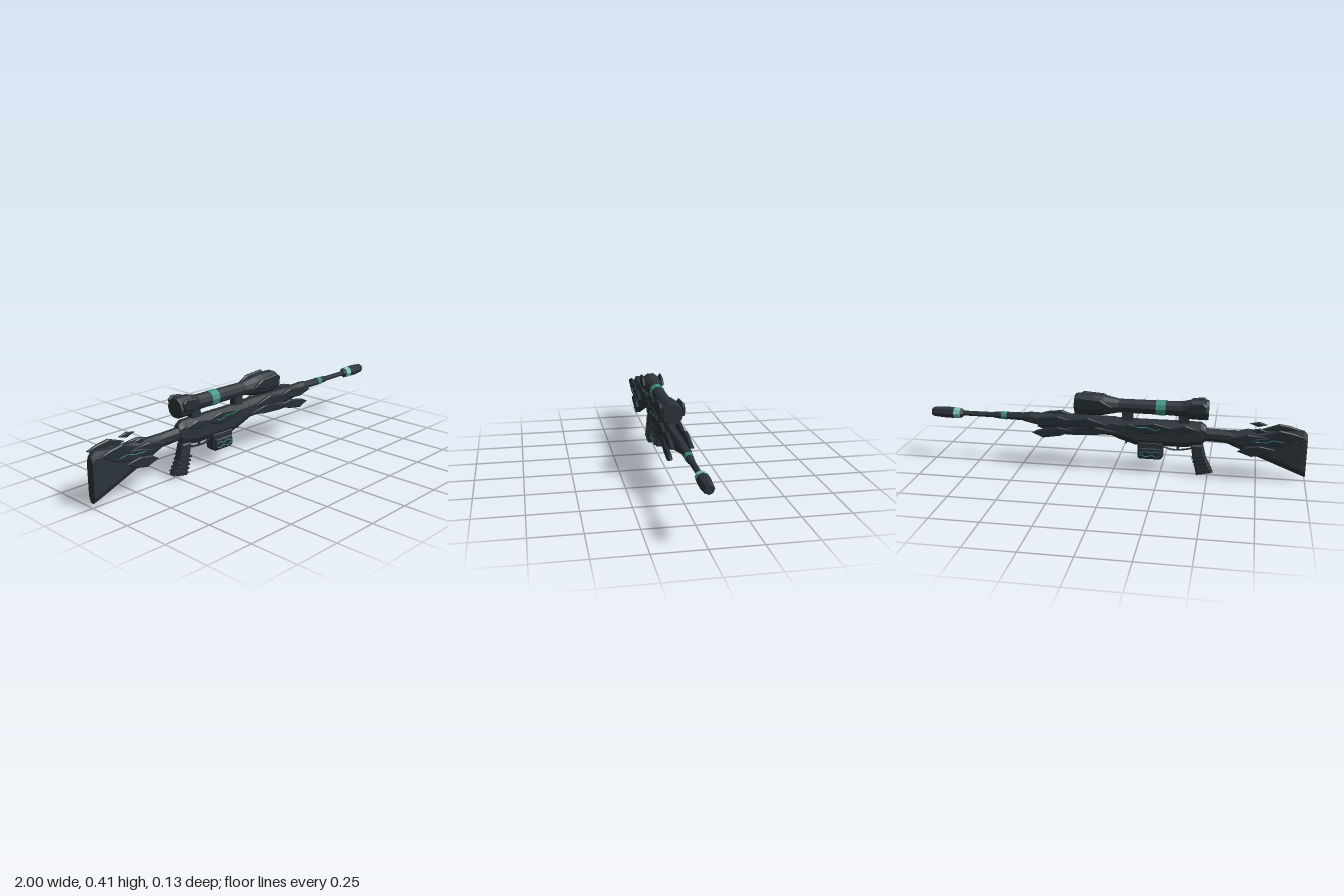
import * as THREE from 'three';

export function createModel() {
  const model = new THREE.Group();
  const mat = (name, color) => {
    const m = new THREE.MeshStandardMaterial({ color });
    m.name = name;
    return m;
  };
  const dark = mat('dark slate', 0x2b343a);
  const plate = mat('plate slate', 0x263036);
  const teal = mat('teal', 0x3f9382);
  const pale = mat('pale teal', 0x7cc4b4);

  const add = (name, geo, material, parent = model) => {
    const m = new THREE.Mesh(geo, material);
    m.name = name;
    parent.add(m);
    return m;
  };

  // Joins rings of [y, z] points along x; rings run counter-clockwise seen from +x
  function loft(rings) {
    const pos = [];
    const n = rings[0].pts.length;
    const put = (r, j) => pos.push(r.x, r.pts[j % n][0], r.pts[j % n][1]);
    for (let i = 0; i < rings.length - 1; i++) {
      const a = rings[i], b = rings[i + 1];
      for (let j = 0; j < n; j++) {
        put(a, j); put(a, j + 1); put(b, j + 1);
        put(a, j); put(b, j + 1); put(b, j);
      }
    }
    const first = rings[0], last = rings[rings.length - 1];
    for (let j = 1; j < n - 1; j++) {
      put(last, 0); put(last, j); put(last, j + 1);
      put(first, 0); put(first, j + 1); put(first, j);
    }
    const g = new THREE.BufferGeometry();
    g.setAttribute('position', new THREE.Float32BufferAttribute(pos, 3));
    g.computeVertexNormals();
    return g;
  }

  // Faceted round part from [x, radius] pairs
  const round = (profile, y, n) => loft(profile.map(([x, r]) => ({
    x,
    pts: Array.from({ length: n }, (_, j) => {
      const a = (j / n) * Math.PI * 2;
      return [y + r * Math.sin(a), -r * Math.cos(a)];
    }),
  })));

  // Chamfered block from [x, bottom, top, half width]
  const block = (stations) => loft(stations.map(([x, b, t, w]) => {
    const c = Math.min(0.03, (t - b) * 0.3);
    const k = w * 0.5;
    return { x, pts: [[b + c, -w], [t - c, -w], [t, -k], [t, k], [t - c, w], [b + c, w], [b, k], [b, -k]] };
  }));

  // Bevelled slab from an outline in x and y, centred on z
  function slab(points, z, thick, bevel) {
    const g = new THREE.ExtrudeGeometry(new THREE.Shape(points.map((p) => new THREE.Vector2(...p))), {
      depth: thick - bevel * 2, bevelEnabled: true, bevelThickness: bevel,
      bevelSize: bevel, bevelOffset: -bevel, bevelSegments: 1,
    });
    return g.translate(0, 0, z - thick / 2 + bevel);
  }

  const pair = (name, points, z, thick, material = plate) => {
    for (const s of [1, -1]) add(name, slab(points, s * z, thick, 0.005), material);
  };

  // Thin zigzag inlay on both sides
  function inlay(name, points, z, width) {
    const group = new THREE.Group();
    group.name = name;
    for (const s of [1, -1]) {
      for (let i = 0; i < points.length - 1; i++) {
        const [x0, y0] = points[i], [x1, y1] = points[i + 1];
        const bar = add('inlay', new THREE.BoxGeometry(Math.hypot(x1 - x0, y1 - y0), width, 0.004), teal, group);
        bar.position.set((x0 + x1) / 2, (y0 + y1) / 2, s * z);
        bar.rotation.z = Math.atan2(y1 - y0, x1 - x0);
      }
    }
    model.add(group);
  }

  // Stock
  add('stock', block([
    [-1, 0.025, 0.25, 0.022], [-0.98, 0.033, 0.272, 0.026], [-0.92, 0.057, 0.262, 0.027],
    [-0.67, 0.155, 0.252, 0.025], [-0.59, 0.187, 0.252, 0.021], [-0.46, 0.193, 0.256, 0.022],
  ]), dark);

  // Receiver and handguard
  add('receiver', block([
    [-0.485, 0.195, 0.27, 0.024], [-0.46, 0.165, 0.287, 0.028], [-0.38, 0.153, 0.288, 0.031],
    [-0.12, 0.15, 0.287, 0.031], [-0.03, 0.178, 0.288, 0.03], [0.01, 0.195, 0.292, 0.03],
  ]), dark);
  add('handguard', block([
    [-0.01, 0.195, 0.292, 0.032], [0.17, 0.2, 0.29, 0.033], [0.32, 0.212, 0.288, 0.03],
    [0.45, 0.238, 0.293, 0.024], [0.49, 0.246, 0.288, 0.019],
  ]), dark);

  // Barrel, rings and muzzle
  add('barrel', round([[0.45, 0.023], [0.58, 0.021], [0.64, 0.019], [0.66, 0.015], [0.85, 0.014]], 0.268, 8), dark);
  add('barrelRing', round([[0.58, 0.023], [0.61, 0.022]], 0.268, 8), teal);
  add('muzzleCollar', round([[0.825, 0.017], [0.84, 0.027]], 0.268, 8), dark);
  add('muzzleRing', round([[0.84, 0.029], [0.875, 0.032]], 0.268, 8), pale);
  add('muzzle', round([[0.875, 0.031], [0.92, 0.032], [0.985, 0.027], [1, 0.021]], 0.268, 8), dark);

  // Scope
  const sy = 0.357;
  add('scopeTube', round([
    [-0.495, 0.05], [-0.485, 0.053], [-0.41, 0.052], [-0.36, 0.039], [-0.27, 0.037], [-0.22, 0.037],
    [-0.03, 0.036], [0.05, 0.053], [0.1, 0.0575], [0.19, 0.0575], [0.203, 0.053],
  ], sy, 10), dark);
  add('scopeRing', round([[-0.275, 0.04], [-0.225, 0.04]], sy, 10), teal);
  pair('scopeFrontPlate', [[0, 0.365], [0.06, 0.4], [0.17, 0.408], [0.195, 0.39], [0.19, 0.345], [0.09, 0.34]], 0.058, 0.018);
  pair('scopeRearPlate', [[-0.49, 0.39], [-0.47, 0.407], [-0.41, 0.4], [-0.37, 0.365], [-0.42, 0.342], [-0.48, 0.35]], 0.053, 0.016);
  for (const x of [-0.37, -0.075]) {
    const mount = add('scopeMount', new THREE.BoxGeometry(0.055, 0.06, 0.036), dark);
    mount.position.set(x, 0.305, 0);
  }

  // Grip with ridges
  add('grip', slab([[-0.47, 0.17], [-0.41, 0.17], [-0.415, 0.13], [-0.442, 0], [-0.527, 0.018], [-0.49, 0.09]], 0, 0.05, 0.008), dark);
  for (let i = 0; i < 5; i++) {
    const t = i / 4;
    const ridge = add('gripRidge', new THREE.BoxGeometry(0.076 - t * 0.014, 0.009, 0.056), plate);
    ridge.position.set(-0.48 + t * 0.033, 0.026 + t * 0.076, 0);
    ridge.rotation.z = -0.2;
  }

  // Trigger and guard
  const guardPath = new THREE.CatmullRomCurve3([
    [-0.42, 0.145], [-0.38, 0.134], [-0.31, 0.129], [-0.26, 0.145],
  ].map(([x, y]) => new THREE.Vector3(x, y, 0)));
  add('triggerGuard', new THREE.TubeGeometry(guardPath, 10, 0.005, 5), dark);
  add('trigger', slab([[-0.355, 0.16], [-0.335, 0.16], [-0.335, 0.135], [-0.345, 0.132]], 0, 0.014, 0.003), dark);
  add('releaseCatch', slab([[-0.085, 0.18], [-0.065, 0.18], [-0.062, 0.152], [-0.07, 0.15]], 0, 0.016, 0.003), dark);

  // Magazine
  add('magazine', slab([[-0.265, 0.17], [-0.13, 0.17], [-0.13, 0.085], [-0.14, 0.076], [-0.25, 0.076], [-0.265, 0.09]], 0, 0.056, 0.006), dark);
  pair('magazinePlate', [[-0.255, 0.14], [-0.14, 0.14], [-0.135, 0.095], [-0.15, 0.082], [-0.245, 0.082], [-0.26, 0.1]], 0.031, 0.014);
  const wave = (y, k) => Array.from({ length: 9 }, (_, i) => [-0.25 + i * 0.0135, y + [0, k, k, -k][i % 4]]);
  inlay('magazineInlayUpper', wave(0.12, 0.005), 0.038, 0.004);
  inlay('magazineInlayLower', wave(0.1, -0.005), 0.038, 0.004);

  // Receiver side blades
  pair('receiverBlade', [[-0.32, 0.255], [-0.22, 0.28], [-0.08, 0.268], [-0.05, 0.25], [-0.16, 0.22], [-0.26, 0.225]], 0.033, 0.012);
  pair('receiverRearBlade', [[-0.46, 0.25], [-0.38, 0.275], [-0.29, 0.255], [-0.36, 0.228]], 0.032, 0.01);
  inlay('receiverInlay', [[-0.25, 0.25], [-0.22, 0.243], [-0.18, 0.258], [-0.14, 0.255], [-0.09, 0.266]], 0.039, 0.003);

  // Handguard side blades
  pair('handguardUpperBlade', [[0.02, 0.262], [0.13, 0.297], [0.22, 0.284], [0.32, 0.262], [0.18, 0.24], [0.09, 0.245]], 0.048, 0.02);
  pair('handguardFrontBlade', [[0.22, 0.275], [0.29, 0.298], [0.36, 0.29], [0.46, 0.262], [0.38, 0.238], [0.29, 0.245]], 0.047, 0.02);
  pair('handguardLowerBlade', [[-0.02, 0.225], [0.1, 0.252], [0.24, 0.235], [0.31, 0.2], [0.2, 0.198], [0.08, 0.205]], 0.047, 0.02);
  pair('handguardTipBlade', [[0.2, 0.22], [0.29, 0.238], [0.4, 0.215], [0.43, 0.2], [0.37, 0.175], [0.28, 0.19]], 0.052, 0.02);

  // Stock side blades
  pair('stockUpperBlade', [[-0.98, 0.255], [-0.92, 0.275], [-0.86, 0.285], [-0.77, 0.252], [-0.84, 0.228], [-0.93, 0.23]], 0.05, 0.018);
  pair('stockMiddleBlade', [[-0.95, 0.23], [-0.85, 0.25], [-0.74, 0.232], [-0.66, 0.205], [-0.77, 0.185], [-0.87, 0.2]], 0.047, 0.02);
  pair('stockLowerBlade', [[-0.84, 0.18], [-0.76, 0.198], [-0.69, 0.185], [-0.65, 0.16], [-0.72, 0.136], [-0.79, 0.15]], 0.052, 0.018);
  pair('stockFrontBlade', [[-0.79, 0.24], [-0.7, 0.252], [-0.59, 0.222], [-0.69, 0.208]], 0.044, 0.018);
  pair('stockTopShard', [[-0.8, 0.275], [-0.76, 0.29], [-0.705, 0.28], [-0.75, 0.263]], 0.053, 0.014);
  inlay('stockInlay', [[-0.88, 0.222], [-0.83, 0.231], [-0.79, 0.217], [-0.73, 0.217]], 0.0575, 0.003);

  return model;
}
